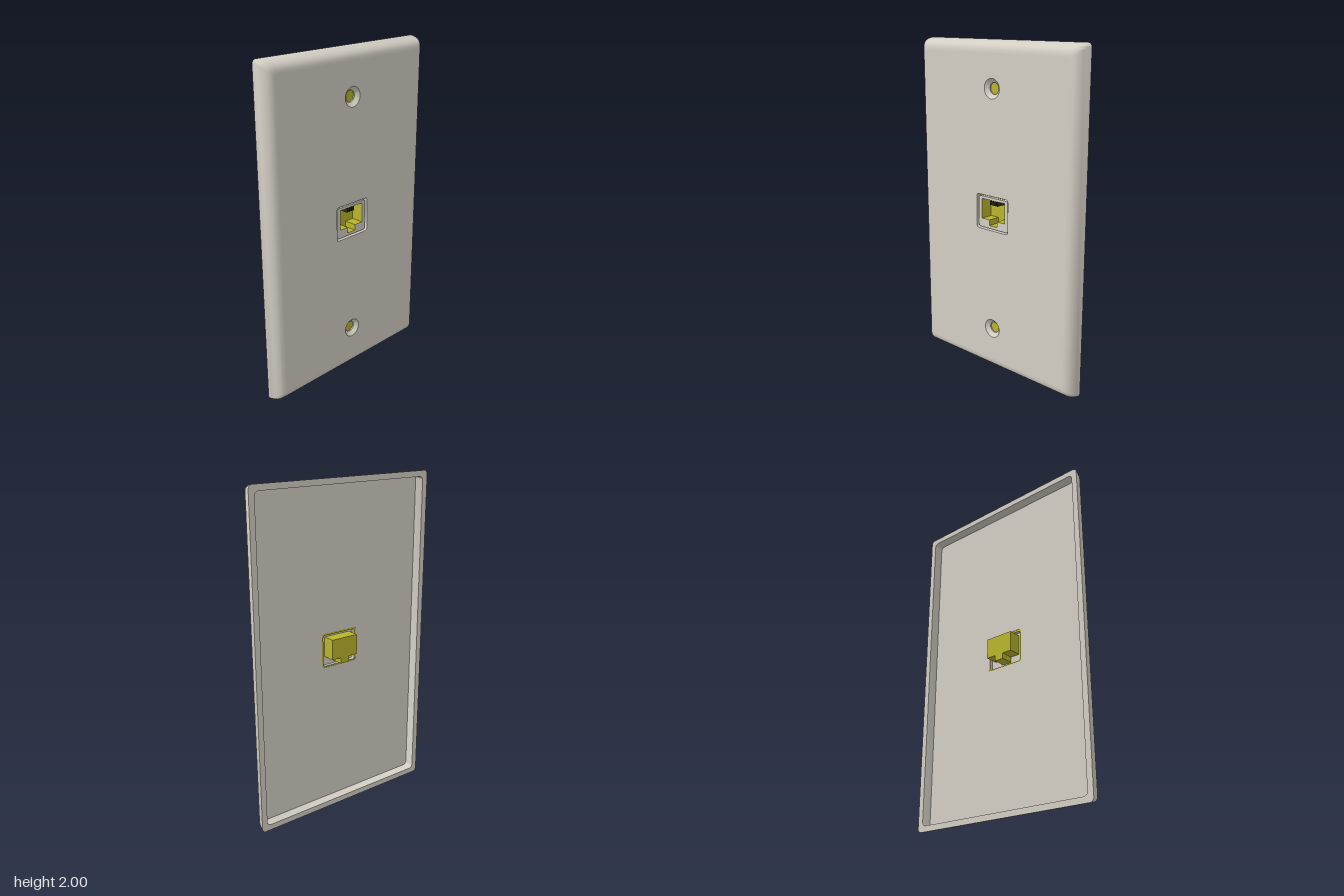
import * as THREE from 'three';
import { toCreasedNormals } from 'three/addons/utils/BufferGeometryUtils.js';

const BACK = -0.047, FLOOR = 0.013, FRONT = 0.045;
const CY = 1.005; // height of the socket

const ivory = new THREE.MeshStandardMaterial({ color: 0xd3cec4, side: THREE.DoubleSide });
const yellow = new THREE.MeshStandardMaterial({ color: 0xb8b42c, side: THREE.DoubleSide });
const dark = new THREE.MeshStandardMaterial({ color: 0x33331a });

// Counter-clockwise rounded rectangle as points
function roundRect(hw, hh, r, cy = 1, seg = 5) {
  const pts = [];
  [[1, 1], [-1, 1], [-1, -1], [1, -1]].forEach(([sx, sy], q) => {
    for (let i = 0; i <= seg; i++) {
      const a = (q + i / seg) * Math.PI / 2;
      pts.push(new THREE.Vector2(sx * (hw - r) + r * Math.cos(a), cy + sy * (hh - r) + r * Math.sin(a)));
    }
  });
  return pts;
}

// Skin between closed outlines, each given as { pts, z }
function skin(rings, crease = 0.6) {
  const pos = [], idx = [], n = rings[0].pts.length;
  rings.forEach(({ pts, z }) => pts.forEach(p => pos.push(p.x, p.y, z)));
  for (let r = 0; r < rings.length - 1; r++) {
    for (let i = 0; i < n; i++) {
      const a = r * n + i, b = r * n + (i + 1) % n;
      idx.push(a, b, b + n, a, b + n, a + n);
    }
  }
  const g = new THREE.BufferGeometry();
  g.setAttribute('position', new THREE.Float32BufferAttribute(pos, 3));
  g.setIndex(idx);
  return toCreasedNormals(g, crease);
}

function sheet(outline, holes, z) {
  const s = new THREE.Shape(outline);
  holes.forEach(h => s.holes.push(new THREE.Path(h)));
  return new THREE.ShapeGeometry(s).translate(0, 0, z);
}

function circle(r, cy, n = 32) {
  return Array.from({ length: n }, (_, i) => {
    const a = i / n * Math.PI * 2;
    return new THREE.Vector2(r * Math.cos(a), cy + r * Math.sin(a));
  });
}

export function createModel() {
  const model = new THREE.Group();
  const add = (name, geometry, material, parent = model) => {
    const m = new THREE.Mesh(geometry, material);
    m.name = name;
    parent.add(m);
    return m;
  };

  // Plate shell: inner wall, back rim, then the rounded outer edge
  const edge = (inset, z) => ({ pts: roundRect(0.61 - inset, 1 - inset, 0.024), z });
  add('plateShell', skin([
    edge(0.035, FLOOR), edge(0.035, BACK), edge(0, BACK), edge(0.005, -0.02), edge(0.012, 0.005),
    edge(0.02, 0.02), edge(0.031, 0.033), edge(0.044, 0.041), edge(0.058, 0.0445), edge(0.07, FRONT),
  ]), ivory);

  // Front and back faces
  const opening = roundRect(0.125, 0.105, 0.016, CY);
  const screwY = [0.272, 1.733];
  add('plateFront', sheet(edge(0.07, 0).pts, [opening, ...screwY.map(y => circle(0.058, y))], FRONT), ivory);
  add('plateBack', sheet(edge(0.035, 0).pts, [opening], FLOOR), ivory);
  add('openingWall', skin([{ pts: opening, z: FRONT }, { pts: opening, z: FLOOR }]), ivory);

  // Countersunk screw holes with coloured floors
  screwY.forEach(y => {
    add('countersink', skin([
      { pts: circle(0.058, y), z: FRONT }, { pts: circle(0.034, y), z: 0.024 }, { pts: circle(0.034, y), z: 0.016 },
    ]), ivory);
    add('screwHoleFloor', sheet(circle(0.034, y), [], 0.016), yellow);
  });

  // Socket
  const socket = new THREE.Group();
  socket.name = 'socket';
  model.add(socket);
  const cavity = [[-0.03, 0.925], [0.03, 0.925], [0.03, 0.96], [0.09, 0.96],
    [0.09, 1.082], [-0.09, 1.082], [-0.09, 0.96], [-0.03, 0.96]].map(p => new THREE.Vector2(...p));
  const insert = roundRect(0.115, 0.095, 0.012, CY - 0.002);
  const faceZ = 0.036;
  add('socketFace', sheet(insert, [cavity], faceZ), ivory, socket);
  add('socketFaceSide', skin([{ pts: insert, z: FLOOR + 0.002 }, { pts: insert, z: faceZ }]), ivory, socket);
  add('socketRing', sheet(opening, [insert], FLOOR + 0.002), yellow, socket);
  add('socketCavity', skin([{ pts: cavity, z: faceZ }, { pts: cavity, z: -0.042 }]), yellow, socket);
  add('socketCavityBack', sheet(cavity, [], -0.042), yellow, socket);

  // Contacts along the top of the cavity
  for (let i = 0; i < 4; i++) {
    const contact = add('contact', new THREE.BoxGeometry(0.009, 0.03, 0.06), dark, socket);
    contact.position.set((i - 1.5) * 0.017, 1.066, 0);
  }
  return model;
}
